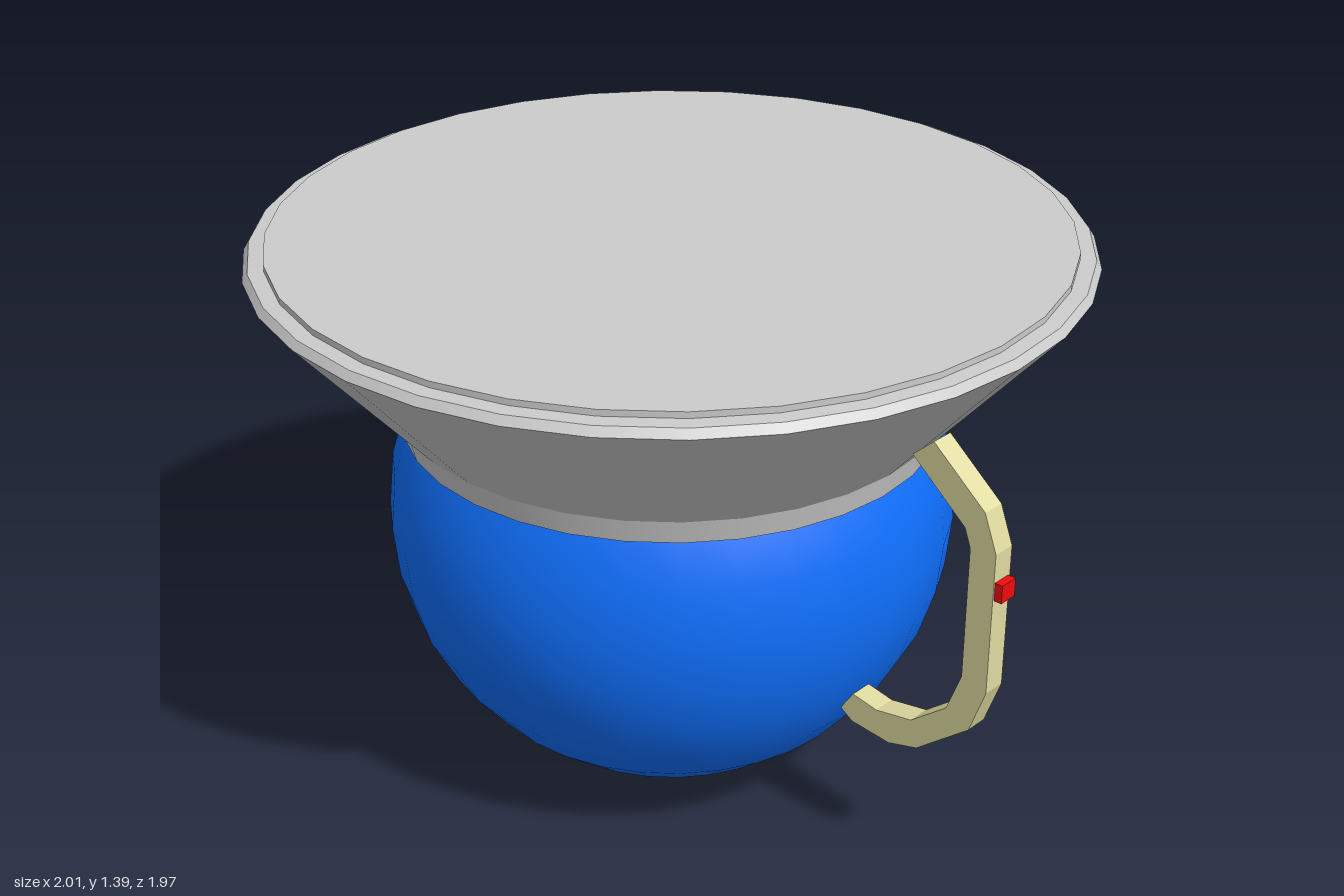
import * as THREE from 'three';

const SIDES = 32;
const CENTRE_X = -0.02;

function addMesh(parent, name, geometry, color) {
  const material = new THREE.MeshStandardMaterial({ color });
  const mesh = new THREE.Mesh(geometry, material);
  mesh.name = name;
  parent.add(mesh);
  return mesh;
}

// Ring of revolution between two [radius, height] points, listed from the bottom up
function band(from, to) {
  return new THREE.LatheGeometry([new THREE.Vector2(...from), new THREE.Vector2(...to)], SIDES);
}

export function createModel() {
  const model = new THREE.Group();
  const body = new THREE.Group();
  body.name = 'body';
  body.position.x = CENTRE_X;
  model.add(body);

  // Round bowl
  const bowl = addMesh(body, 'bowl', new THREE.SphereGeometry(0.686, SIDES, 16), 0x0f70ff);
  bowl.position.y = 0.686;

  // Flared collar, one band per crease so that the edges stay sharp
  const profile = [[0.645, 0.925], [0.66, 0.985], [0.985, 1.355], [0.972, 1.375], [0.935, 1.377], [0.935, 1.392]];
  const names = ['collarNeck', 'collarFlare', 'rimEdge', 'rimLedge', 'lidSide'];
  names.forEach((name, i) => addMesh(body, name, band(profile[i], profile[i + 1]), 0xcccccc));

  // Flat lid
  const lid = addMesh(body, 'lidTop', new THREE.CircleGeometry(0.935, SIDES), 0xcccccc);
  lid.rotation.x = -Math.PI / 2;
  lid.position.y = 1.392;

  // Angular handle: outer outline, then back along the inner one
  const outline = [
    [0.80, 1.15], [0.945, 1.03], [0.98, 0.94], [0.98, 0.585], [0.94, 0.47], [0.80, 0.355],
    [0.72, 0.332], [0.61, 0.342], [0.575, 0.365],
    [0.61, 0.418], [0.68, 0.405], [0.78, 0.423], [0.875, 0.5], [0.912, 0.6],
    [0.912, 0.93], [0.895, 0.975], [0.745, 1.10],
  ];
  const shape = new THREE.Shape(outline.map(([x, y]) => new THREE.Vector2(x, y)));
  const handle = addMesh(model, 'handle',
    new THREE.ExtrudeGeometry(shape, { depth: 0.058, bevelEnabled: false }), 0xdfdaa0);

  // Small button on the outside of the handle
  const button = addMesh(model, 'handleButton', new THREE.BoxGeometry(0.04, 0.045, 0.048), 0xee0c0c);
  button.position.set(0.98, 0.846, 0.03);

  return model;
}
